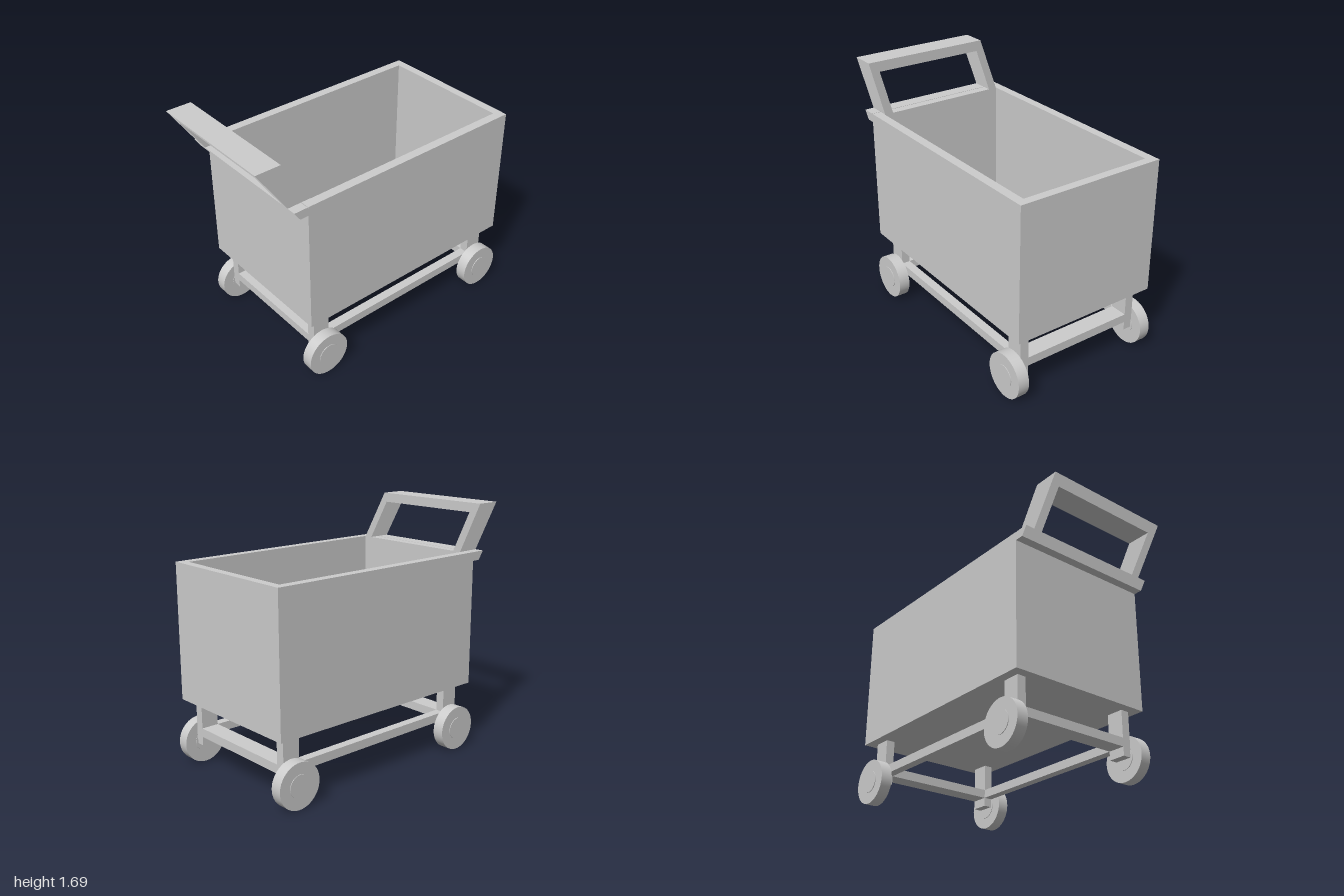
import * as THREE from 'three';

const material = new THREE.MeshStandardMaterial({ color: 0xcccccc });

function add(parent, name, geometry) {
  const mesh = new THREE.Mesh(geometry, material);
  mesh.name = name;
  parent.add(mesh);
  return mesh;
}

// Box given by its extents along each axis
function box(parent, name, [x0, x1], [y0, y1], [z0, z1]) {
  const geometry = new THREE.BoxGeometry(x1 - x0, y1 - y0, z1 - z0);
  geometry.translate((x0 + x1) / 2, (y0 + y1) / 2, (z0 + z1) / 2);
  return add(parent, name, geometry);
}

// Box leaning forward with height; back and front are its z limits at the rim.
// The upright box's shading is kept.
function leaningBox(parent, name, xs, ys, back = 0.632, front = 0.794) {
  const mesh = box(parent, name, xs, ys, [-1, 1]);
  const position = mesh.geometry.attributes.position;
  for (let i = 0; i < position.count; i++) {
    const rise = position.getY(i) - 1.38;
    position.setZ(i, position.getZ(i) < 0 ? back + rise * 0.63 : front + rise * 0.667);
  }
  return mesh;
}

// Closed rectangle in plan, drawn counter-clockwise
function rectangle(path, x0, x1, z0, z1) {
  return path.moveTo(x0, -z1).lineTo(x1, -z1).lineTo(x1, -z0).lineTo(x0, -z0).closePath();
}

export function createModel() {
  const cart = new THREE.Group();
  cart.name = 'pushCart';

  // Open bin: rectangular wall ring around a floor
  const bin = new THREE.Group();
  bin.name = 'bin';
  cart.add(bin);
  const ring = rectangle(new THREE.Shape(), -0.525, 0.525, -0.975, 0.695);
  ring.holes.push(rectangle(new THREE.Path(), -0.463, 0.463, -0.917, 0.632));
  const walls = new THREE.ExtrudeGeometry(ring, { depth: 0.924, bevelEnabled: false });
  walls.rotateX(-Math.PI / 2).translate(0, 0.456, 0);
  add(bin, 'binWalls', walls);
  box(bin, 'binFloor', [-0.463, 0.463], [0.456, 0.517], [-0.917, 0.632]);

  // Push handle: rim lip, two leaning arms and a grip bar
  const handle = new THREE.Group();
  handle.name = 'handle';
  cart.add(handle);
  leaningBox(handle, 'frontLip', [-0.525, 0.525], [1.32, 1.38], 0.7);
  leaningBox(handle, 'gripBar', [-0.461, 0.461], [1.628, 1.688]);
  leaningBox(handle, 'leftArm', [0.4, 0.461], [1.38, 1.628]);
  leaningBox(handle, 'rightArm', [-0.461, -0.4], [1.38, 1.628]);

  // Undercarriage: legs, rails and wheels
  const base = new THREE.Group();
  base.name = 'undercarriage';
  cart.add(base);
  const railHeight = [0.207, 0.267];
  for (const [end, z] of [['front', 0.568], ['back', -0.849]]) {
    const depth = [z - 0.061, z + 0.061];
    box(base, end + 'CrossRail', [-0.4, 0.4], railHeight, depth);
    for (const [side, s] of [['Left', 1], ['Right', -1]]) {
      const xs = s > 0 ? [0.4, 0.461] : [-0.461, -0.4];
      box(base, end + side + 'Leg', xs, [0.147, 0.456], depth);

      const wheel = new THREE.Group();
      wheel.name = end + side + 'Wheel';
      wheel.position.set(s * 0.501, 0.154, z);
      wheel.rotation.z = Math.PI / 2;
      base.add(wheel);
      add(wheel, 'tyre', new THREE.CylinderGeometry(0.153, 0.153, 0.078, 48));
      add(wheel, 'hub', new THREE.CylinderGeometry(0.076, 0.076, 0.086, 48));
    }
  }
  box(base, 'leftSideRail', [0.4, 0.461], railHeight, [-0.788, 0.507]);
  box(base, 'rightSideRail', [-0.461, -0.4], railHeight, [-0.788, 0.507]);

  return cart;
}
